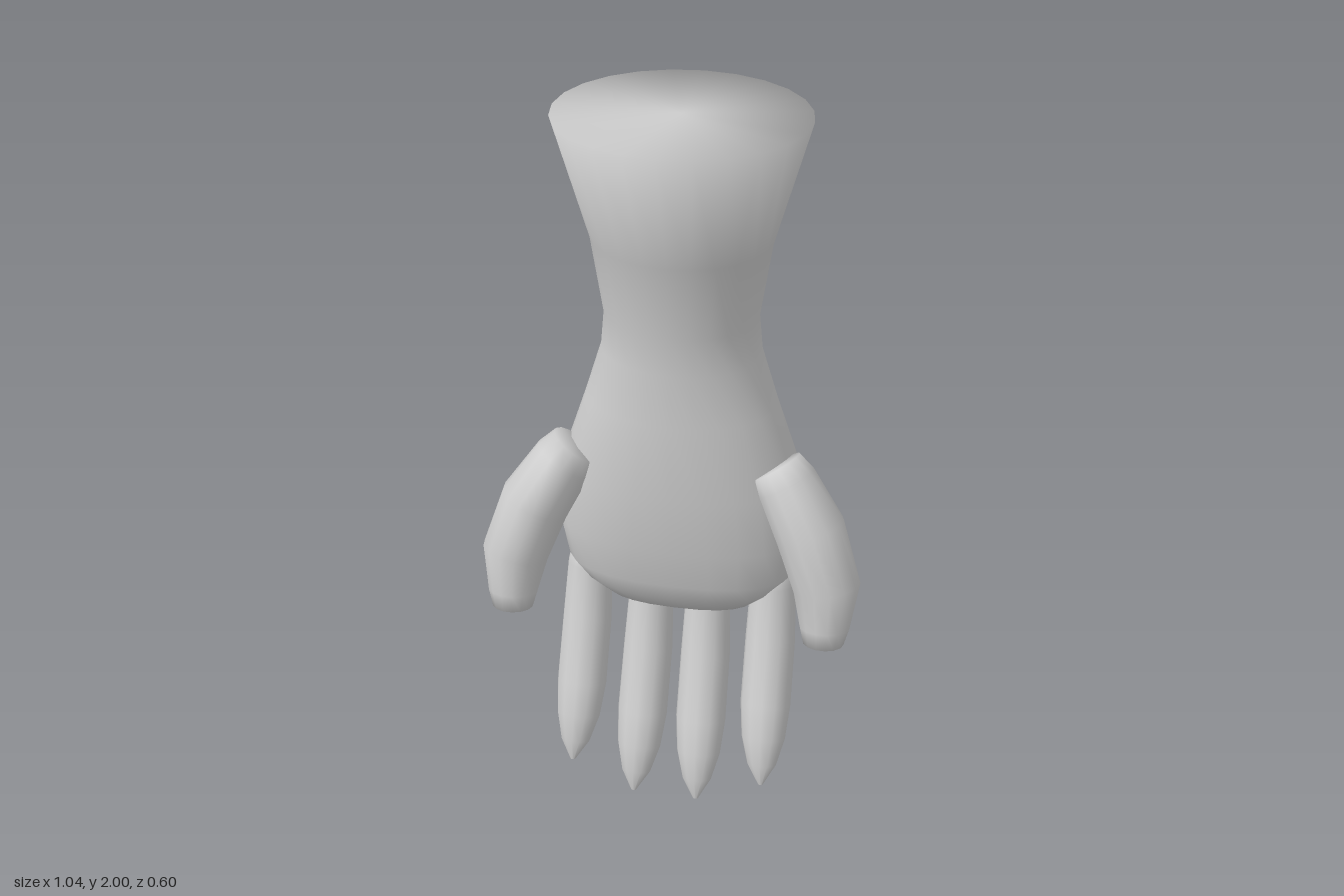
import * as THREE from 'three';

const material = new THREE.MeshStandardMaterial({ color: 0xcccccc });

// Closed smooth skin over sections [x, y, z, halfWidth, halfDepth, squareness]
function loft(name, rows, sides) {
  const centres = rows.map(r => new THREE.Vector3(r[0], r[1], r[2]));
  const pos = [], index = [];
  rows.forEach(([, , , a, b, e = 1], i) => {
    const t = centres[Math.min(i + 1, rows.length - 1)].clone()
      .sub(centres[Math.max(i - 1, 0)]).normalize();
    const u = new THREE.Vector3(1, 0, 0).addScaledVector(t, -t.x).normalize();
    const v = t.clone().cross(u);
    for (let j = 0; j < sides; j++) {
      const q = j / sides * Math.PI * 2, c = Math.cos(q), s = Math.sin(q);
      const p = centres[i].clone()
        .addScaledVector(u, a * Math.sign(c) * Math.abs(c) ** e)
        .addScaledVector(v, b * Math.sign(s) * Math.abs(s) ** e);
      pos.push(p.x, p.y, p.z);
    }
  });
  const last = (rows.length - 1) * sides, first = rows.length * sides;
  pos.push(...centres[0].toArray(), ...centres[rows.length - 1].toArray());
  for (let j = 0; j < sides; j++) {
    const k = (j + 1) % sides;
    for (let o = 0; o < last; o += sides) {
      index.push(o + j, o + k, o + sides + j, o + k, o + sides + k, o + sides + j);
    }
    index.push(first, k, j, first + 1, last + j, last + k);
  }
  const geo = new THREE.BufferGeometry();
  geo.setAttribute('position', new THREE.Float32BufferAttribute(pos, 3));
  geo.setIndex(index);
  geo.computeVertexNormals();
  const mesh = new THREE.Mesh(geo, material);
  mesh.name = name;
  return mesh;
}

export function createModel() {
  const model = new THREE.Group();
  model.name = 'hand';

  // Flared forearm, narrow wrist and broad palm in one skin
  model.add(loft('forearmAndPalm', [
    [0, 2, 0, 0.327, 0.298],
    [0, 1.67, 0, 0.236, 0.195],
    [0, 1.46, 0, 0.205, 0.172],
    [0, 1.35, 0, 0.216, 0.164],
    [0, 1.2, 0, 0.262, 0.176],
    [0, 0.98, 0, 0.335, 0.19, 0.93],
    [0, 0.8, 0, 0.343, 0.174, 0.87],
    [0, 0.68, 0, 0.32, 0.157, 0.82],
    [0, 0.62, 0, 0.275, 0.135, 0.8],
    [0, 0.565, 0, 0.215, 0.098, 0.8],
  ], 24));

  // Fingers curve forward and end in a point
  const fingerPath = [ // y, z, radius
    [0.625, 0.025, 0.052], [0.56, 0.03, 0.064], [0.4, 0.072, 0.071], [0.22, 0.15, 0.072],
    [0.13, 0.193, 0.063], [0.06, 0.23, 0.042], [0.005, 0.257, 0.007],
  ];
  const fingers = [
    { name: 'InnerFinger', x0: 0.08, x1: 0.092, dy: 0, dz: 0 },
    { name: 'OuterFinger', x0: 0.262, x1: 0.278, dy: 0.067, dz: -0.022 },
  ];

  for (const [side, s] of [['left', 1], ['right', -1]]) {
    for (const f of fingers) {
      model.add(loft(side + f.name, fingerPath.map(([y, z, r], i) => [
        s * THREE.MathUtils.lerp(f.x0, f.x1, i / (fingerPath.length - 1)),
        y + f.dy, z + f.dz, r, r,
      ]), 12));
    }

    // Thumb leaves the side of the palm and ends bluntly
    model.add(loft(side + 'Thumb', [
      [s * 0.275, 1.065, 0.085, 0.07, 0.083],
      [s * 0.305, 1.025, 0.1, 0.084, 0.092],
      [s * 0.378, 0.91, 0.143, 0.096, 0.108],
      [s * 0.432, 0.76, 0.175, 0.092, 0.098],
      [s * 0.435, 0.65, 0.212, 0.068, 0.071],
      [s * 0.435, 0.605, 0.223, 0.056, 0.058],
    ], 14));

    // Small nail on the back of the thumb tip
    const nail = new THREE.Mesh(new THREE.SphereGeometry(1, 12, 8), material);
    nail.name = side + 'ThumbNail';
    nail.scale.set(0.036, 0.045, 0.022);
    nail.position.set(s * 0.435, 0.622, 0.168);
    nail.rotation.x = -0.3;
    model.add(nail);
  }
  return model;
}
